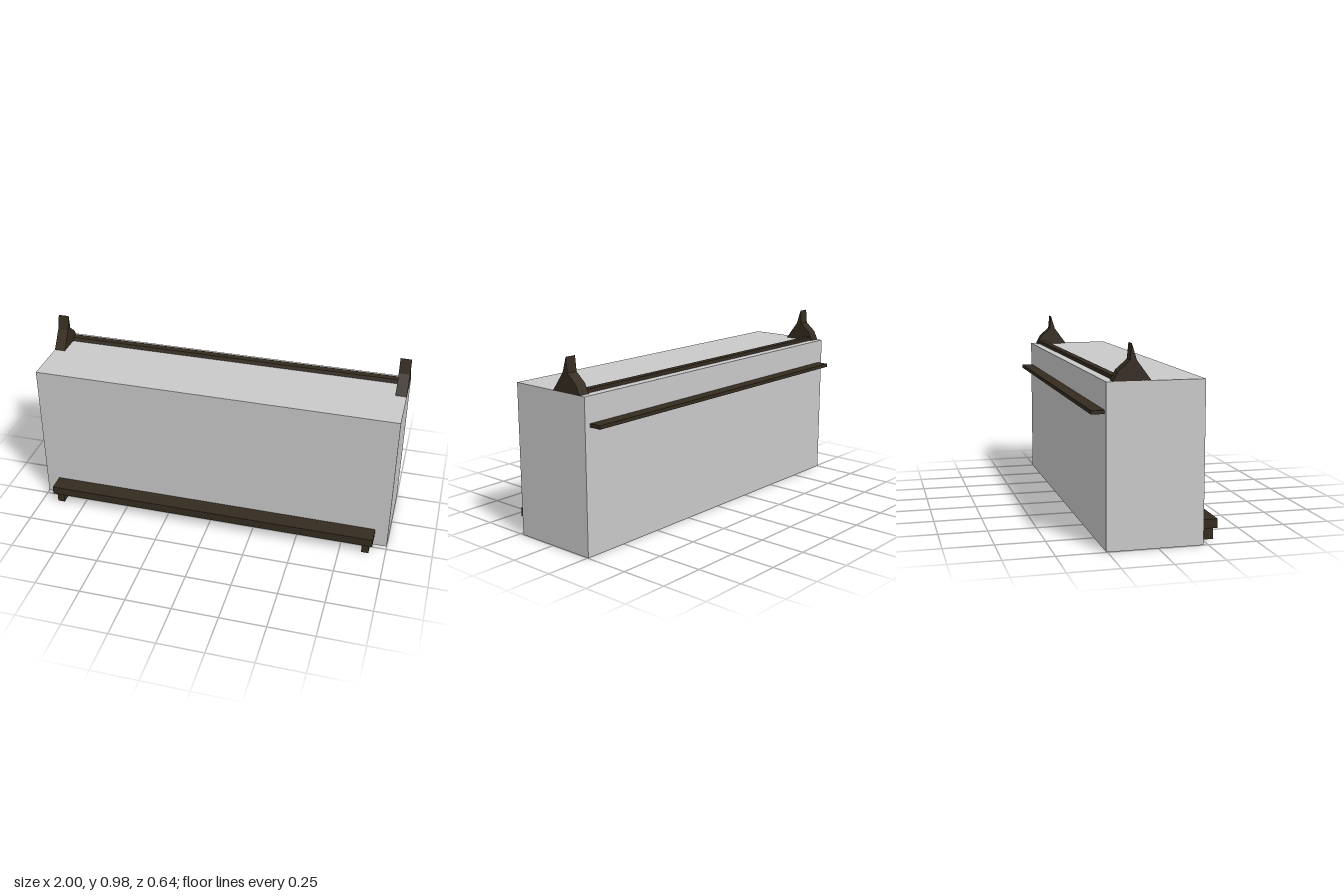
import * as THREE from 'three';

export function createModel() {
  const model = new THREE.Group();
  const grey = new THREE.MeshStandardMaterial({ color: 0xc9c9c9 });
  grey.name = 'pale grey';
  const brown = new THREE.MeshStandardMaterial({ color: 0x352b20 });
  brown.name = 'dark brown';

  const add = (name, geometry, material) => {
    const mesh = new THREE.Mesh(geometry, material);
    mesh.name = name;
    model.add(mesh);
    return mesh;
  };

  // Box given by its limits on each axis
  const box = (name, [x0, x1], [y0, y1], [z0, z1], material) =>
    add(name, new THREE.BoxGeometry(x1 - x0, y1 - y0, z1 - z0), material)
      .position.set((x0 + x1) / 2, (y0 + y1) / 2, (z0 + z1) / 2);

  // Side profile of (z, y) points, swept along x and centred on cx
  const sweep = (name, points, width, cx) => {
    const shape = new THREE.Shape(points.map(([z, y]) => new THREE.Vector2(z, y)));
    const geometry = new THREE.ExtrudeGeometry(shape, { depth: width, bevelEnabled: false });
    geometry.rotateY(-Math.PI / 2).translate(cx + width / 2, 0, 0);
    add(name, geometry, brown);
  };

  // Main block, raised a hair so the foot beams show underneath
  box('body', [-1, 1], [0.001, 0.808], [-0.257, 0.226], grey);

  // Front step and rear ledge
  box('frontStep', [-0.928, 0.928], [0.06, 0.106], [0.22, 0.323], brown);
  box('rearLedge', [-0.967, 0.967], [0.654, 0.673], [-0.322, -0.25], brown);

  // Low ridge rail with a sloping front face
  sweep('ridgeRail', [[-0.165, 0.805], [-0.175, 0.827], [-0.212, 0.827], [-0.212, 0.805]], 1.88, 0);

  // Pointed end finials and the foot beams
  const finial = [[-0.04, 0.807], [-0.112, 0.905], [-0.136, 0.983],
    [-0.144, 0.905], [-0.2, 0.857], [-0.225, 0.807]];
  for (const [side, s] of [['left', 1], ['right', -1]]) {
    sweep(side + 'Finial', finial, 0.06, s * 0.97);
    const inner = s * 0.89;
    box(side + 'FootBeam', [inner - 0.02, inner + 0.02], [0, 0.06], [-0.22, 0.307], brown);
  }
  return model;
}
